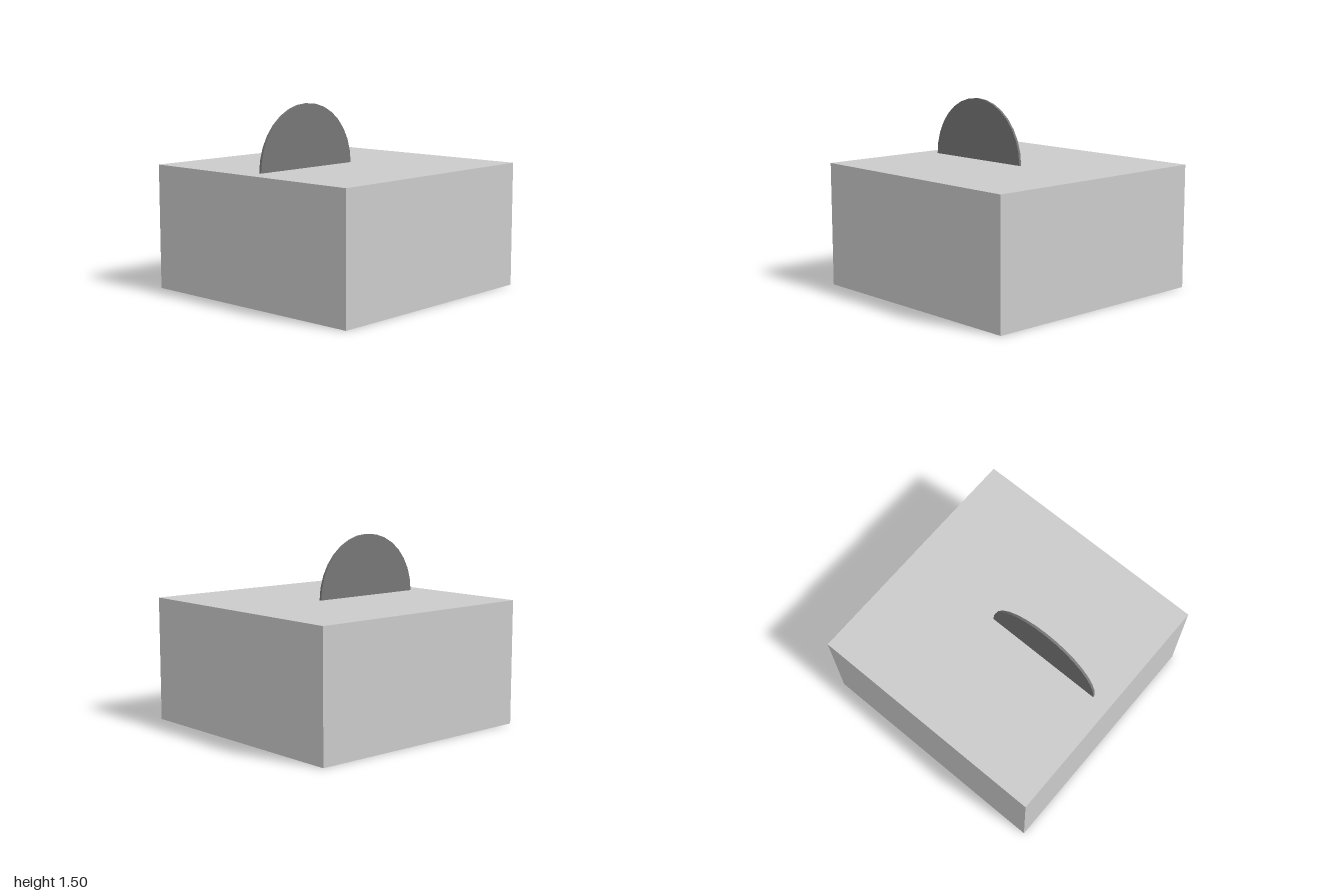
import * as THREE from 'three';

export function createModel() {
  const model = new THREE.Group();

  // Solid block standing on the ground
  const block = new THREE.Mesh(
    new THREE.BoxGeometry(2, 1, 2),
    new THREE.MeshStandardMaterial({ color: 0xcccccc })
  );
  block.name = 'block';
  block.position.y = 0.5;

  // Thin upright disc, lower half sunk into the block, facing sideways
  const disc = new THREE.Mesh(
    new THREE.CylinderGeometry(0.5, 0.5, 0.02, 32).rotateZ(Math.PI / 2),
    new THREE.MeshStandardMaterial({ color: 0x777777 })
  );
  disc.name = 'uprightDisc';
  disc.position.set(0, 1, 0.35);

  model.add(block, disc);
  return model;
}
